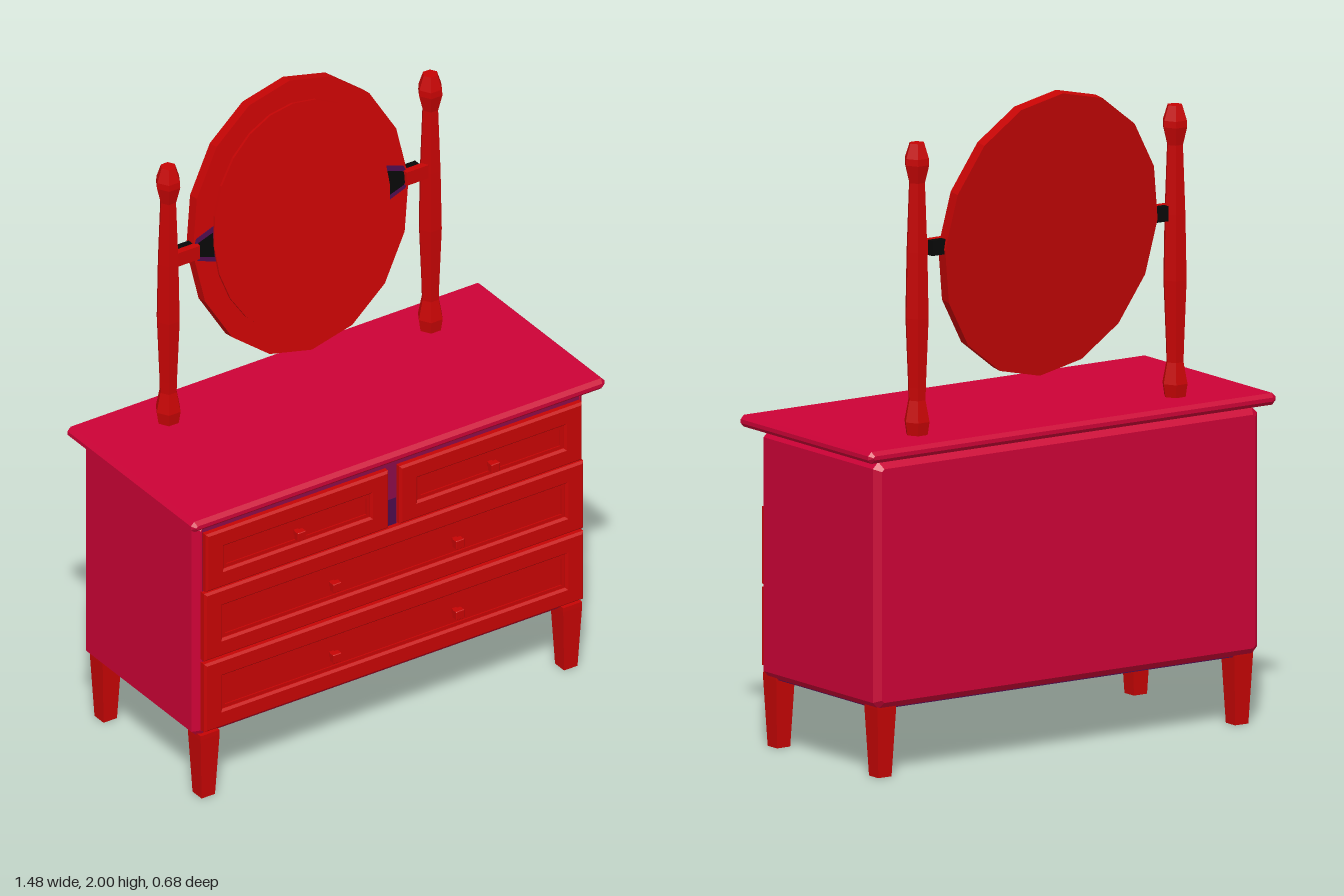
import * as THREE from 'three';

const red = new THREE.MeshStandardMaterial({ name: 'red wood', color: 0xc60404 });
const crimson = new THREE.MeshStandardMaterial({ name: 'crimson carcass', color: 0xcc0236 });
const plum = new THREE.MeshStandardMaterial({ name: 'plum trim', color: 0x8a0c48 });
const violet = new THREE.MeshStandardMaterial({ name: 'dark violet trim', color: 0x4c0c4c });
const black = new THREE.MeshStandardMaterial({ name: 'black pivot', color: 0x080808 });

function add(parent, name, geometry, material, x = 0, y = 0, z = 0) {
  const mesh = new THREE.Mesh(geometry, material);
  mesh.name = name;
  mesh.position.set(x, y, z);
  parent.add(mesh);
  return mesh;
}

function flat(geometry) {
  const g = geometry.index ? geometry.toNonIndexed() : geometry;
  g.computeVertexNormals();
  return g;
}

// Centred box with every edge chamfered by c
function chamferBox(w, h, d, c) {
  const a = w / 2 - c, b = h / 2 - c, k = c * 0.41;
  const pts = [[-a + k, -b], [a - k, -b], [a, -b + k], [a, b - k], [a - k, b], [-a + k, b], [-a, b - k], [-a, -b + k]];
  const shape = new THREE.Shape(pts.map(p => new THREE.Vector2(...p)));
  const g = new THREE.ExtrudeGeometry(shape, {
    depth: d - 2 * c, bevelEnabled: true, bevelSize: c, bevelThickness: c, bevelSegments: 1,
  });
  return g.translate(0, 0, -(d - 2 * c) / 2);
}

// Faceted turned piece from [radius, height] pairs
function turned(profile, sides) {
  const pts = profile.map(p => new THREE.Vector2(...p));
  return flat(new THREE.LatheGeometry(pts, sides, Math.PI / sides));
}

function rect(path, w, h) {
  path.moveTo(-w / 2, -h / 2);
  path.lineTo(w / 2, -h / 2);
  path.lineTo(w / 2, h / 2);
  path.lineTo(-w / 2, h / 2);
  path.closePath();
  return path;
}

// Thin rectangular border facing +z
function border(w, h, margin, depth) {
  const shape = rect(new THREE.Shape(), w, h);
  shape.holes.push(rect(new THREE.Path(), w - 2 * margin, h - 2 * margin));
  return new THREE.ExtrudeGeometry(shape, { depth, bevelEnabled: false });
}

// Drawer front with a recessed panel and square knobs
function drawer(name, x0, x1, y0, y1, knobXs) {
  const group = new THREE.Group();
  group.name = name;
  const w = x1 - x0, h = y1 - y0, c = 0.007;
  const pw = w - 0.13, ph = h - 0.12;
  const shape = rect(new THREE.Shape(), w - 2 * c, h - 2 * c);
  shape.holes.push(rect(new THREE.Path(), pw + 2 * c, ph + 2 * c));
  const frame = new THREE.ExtrudeGeometry(shape, {
    depth: 0.018, bevelEnabled: true, bevelSize: c, bevelThickness: c, bevelSegments: 1,
  });
  add(group, 'drawerFrame', frame, red, 0, 0, 0.287);
  add(group, 'drawerPanel', new THREE.BoxGeometry(pw + 0.01, ph + 0.01, 0.02), red, 0, 0, 0.29);
  add(group, 'panelMoulding', border(pw - 0.002, ph - 0.002, 0.011, 0.005), red, 0, 0, 0.299);
  for (const x of knobXs) {
    add(group, 'knobStem', new THREE.BoxGeometry(0.016, 0.016, 0.02), red, x, -0.003, 0.308);
    add(group, 'knob', chamferBox(0.03, 0.03, 0.022, 0.002), red, x, -0.003, 0.324);
  }
  group.position.set((x0 + x1) / 2, (y0 + y1) / 2, 0);
  return group;
}

// Solid elliptical disc facing +z
function ellipseDisc(rx, ry, depth, sides) {
  const g = new THREE.CylinderGeometry(1, 1, depth, sides);
  g.rotateX(Math.PI / 2).scale(rx, ry, 1);
  return flat(g);
}

// Thin plate from [x, y] corners, mirrored by s
function plate(points, s, depth) {
  const shape = new THREE.Shape(points.map(([x, y]) => new THREE.Vector2(s * x, y)));
  return new THREE.ExtrudeGeometry(shape, { depth, bevelEnabled: false });
}

export function createModel() {
  const model = new THREE.Group();
  model.name = 'dressingTable';

  // Carcass and table top
  add(model, 'carcass', chamferBox(1.4, 0.75, 0.6, 0.02), crimson, 0, 0.588, -0.012);
  add(model, 'carcassNeck', new THREE.BoxGeometry(1.33, 0.04, 0.54), plum, 0, 0.96, -0.01);
  add(model, 'tableTop', chamferBox(1.484, 0.036, 0.678, 0.012), crimson, 0, 0.987, 0);

  // Shaded trim on the carcass front and underside
  add(model, 'frontRail', new THREE.BoxGeometry(1.35, 0.71, 0.004), plum, 0, 0.588, 0.288);
  add(model, 'drawerDivider', new THREE.BoxGeometry(0.038, 0.09, 0.003), violet, 0, 0.77, 0.2895);
  add(model, 'drawerGap', new THREE.BoxGeometry(1.08, 0.016, 0.003), violet, 0, 0.485, 0.2895);
  add(model, 'bottomBorder', border(1.35, 0.55, 0.07, 0.003), violet, 0, 0.212, -0.012).rotation.x = Math.PI / 2;

  // Drawers
  model.add(
    drawer('upperRightDrawer', -0.675, -0.02, 0.73, 0.93, [0]),
    drawer('upperLeftDrawer', 0.02, 0.675, 0.73, 0.93, [0]),
    drawer('middleDrawer', -0.68, 0.68, 0.49, 0.725, [-0.22, 0.22]),
    drawer('lowerDrawer', -0.68, 0.68, 0.243, 0.48, [-0.22, 0.22]),
  );

  // Square tapered legs
  const leg = turned([[0, 0], [0.034, 0], [0.048, 0.21], [0.048, 0.225], [0, 0.225]], 4);
  for (const x of [-0.65, 0.65]) for (const z of [-0.26, 0.26]) add(model, 'leg', leg, red, x, 0, z);

  // Turned hexagonal posts
  const post = turned([
    [0, 1], [0.034, 1], [0.041, 1.045], [0.028, 1.11], [0.029, 1.15], [0.038, 1.36], [0.034, 1.56],
    [0.026, 1.77], [0.04, 1.825], [0.039, 1.845], [0.024, 1.89], [0, 1.89],
  ], 6);

  // Oval mirror, tilted back
  const mirror = new THREE.Group();
  mirror.name = 'mirror';
  mirror.position.set(0, 1.56, -0.205);
  mirror.rotation.x = -0.133;
  model.add(mirror);
  add(mirror, 'mirrorFrame', ellipseDisc(0.387, 0.443, 0.036, 16), red);
  add(mirror, 'mirrorGlass', ellipseDisc(0.315, 0.37, 0.009, 24), red, 0, 0, 0.0215);

  // Posts, pivots and their brackets on both sides
  const halo = [[0.386, 0.005], [0.372, 0.042], [0.308, 0.064], [0.308, -0.052], [0.372, -0.03]];
  const wedge = [[0.384, 0.005], [0.365, 0.028], [0.314, 0.044], [0.314, -0.034], [0.365, -0.018]];
  for (const s of [-1, 1]) {
    add(model, 'mirrorPost', post, red, s * 0.47, 0, -0.195);
    add(model, 'pivotPin', new THREE.BoxGeometry(0.1, 0.046, 0.022), red, s * 0.42, 1.567, -0.184);
    add(model, 'pivotBack', new THREE.BoxGeometry(0.06, 0.046, 0.022), black, s * 0.4, 1.567, -0.206);
    add(mirror, 'pivotHalo', plate(halo, s, 0.003), violet, 0, 0, 0.017);
    add(mirror, 'pivotBracket', plate(wedge, s, 0.005), black, 0, 0, 0.017);
  }
  return model;
}
